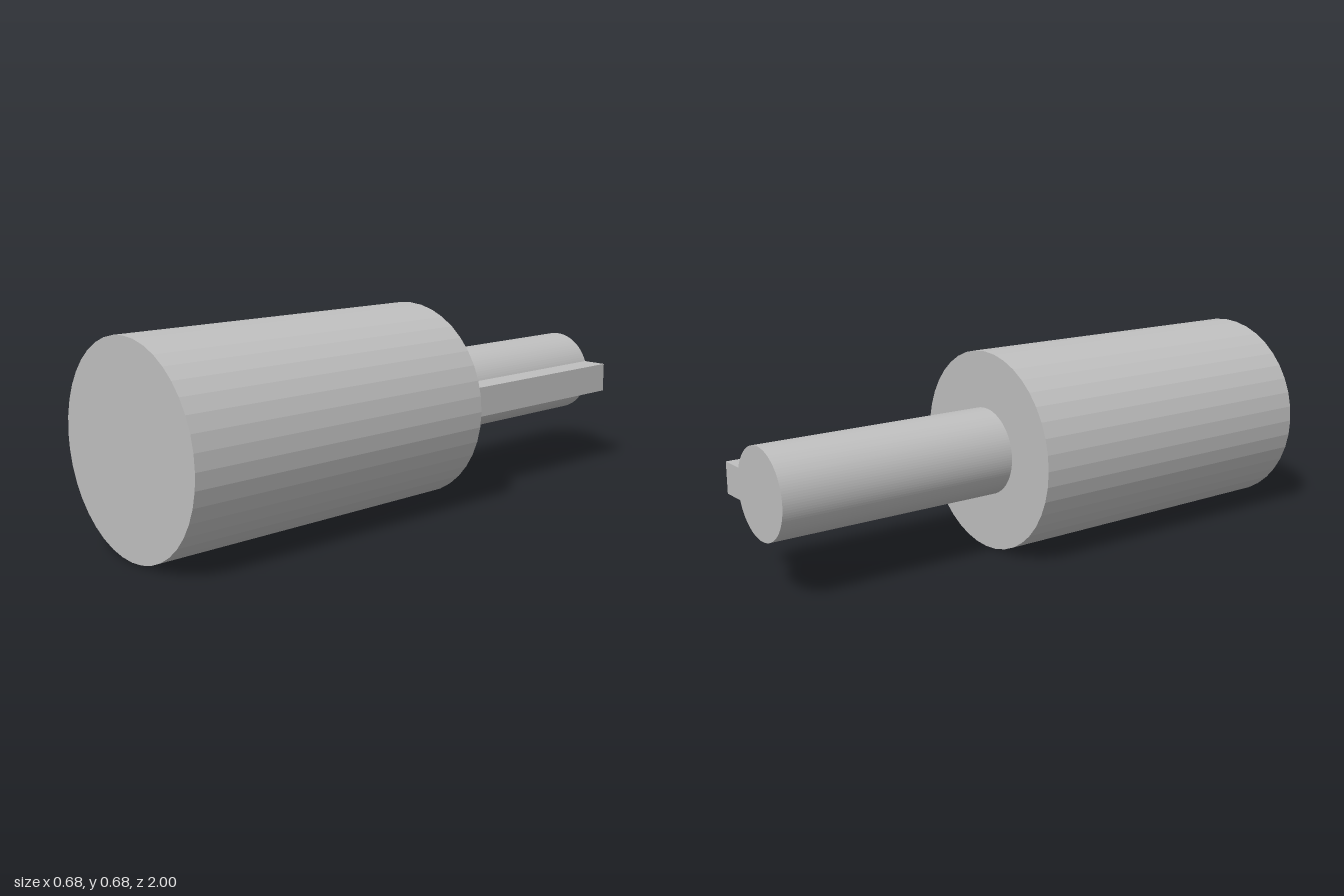
import * as THREE from 'three';

const BODY_R = 0.342, SHAFT_R = 0.149, KEY_HALF = 0.0525, KEY_X = 0.23;
const FRONT = 1, STEP = -0.165, BACK = -1;

export function createModel() {
  const group = new THREE.Group();
  const steel = new THREE.MeshStandardMaterial({ color: 0xbfbfbf, flatShading: true });
  steel.name = 'grey metal';

  // Faceted main body, a vertex at the top
  const bodyGeo = new THREE.CylinderGeometry(BODY_R, BODY_R, FRONT - STEP, 40);
  bodyGeo.rotateX(Math.PI / 2);
  const body = new THREE.Mesh(bodyGeo, steel);
  body.name = 'body';
  body.position.set(0, BODY_R, (FRONT + STEP) / 2);
  group.add(body);

  // Round shaft with a square key along its left side, in one profile
  const a = Math.asin(KEY_HALF / SHAFT_R);
  const profile = new THREE.Shape();
  profile.moveTo(KEY_X, -KEY_HALF);
  profile.lineTo(KEY_X, KEY_HALF);
  profile.lineTo(SHAFT_R * Math.cos(a), KEY_HALF);
  profile.absarc(0, 0, SHAFT_R, a, Math.PI * 2 - a, false);
  profile.closePath();
  const shaftGeo = new THREE.ExtrudeGeometry(profile, {
    depth: STEP - BACK, bevelEnabled: false, curveSegments: 48,
  });
  const shaft = new THREE.Mesh(shaftGeo, steel);
  shaft.name = 'keyedShaft';
  shaft.position.set(0, BODY_R, BACK);
  group.add(shaft);

  return group;
}
